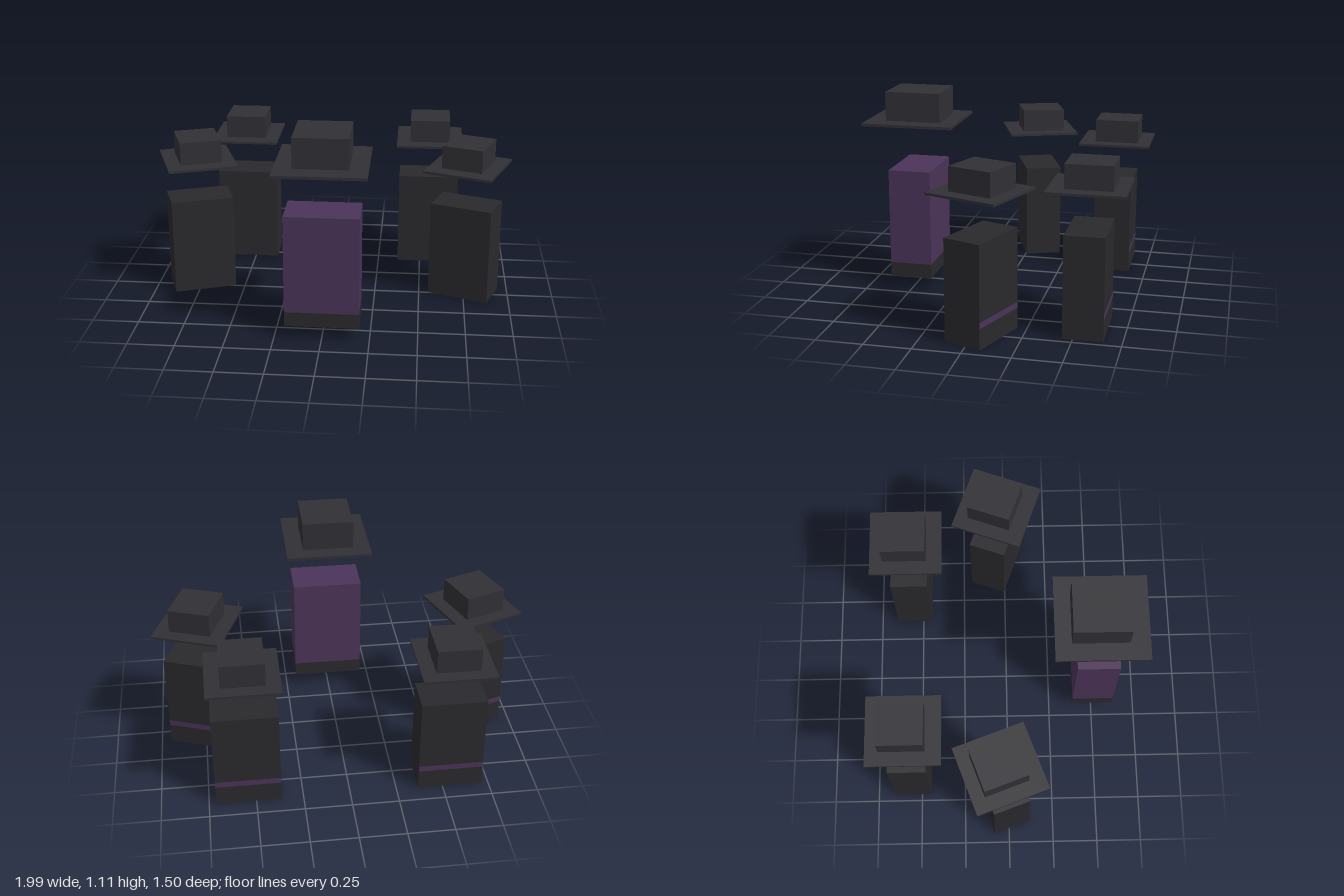
import * as THREE from 'three';

const dark = new THREE.MeshStandardMaterial({ color: 0x29292d });
const felt = new THREE.MeshStandardMaterial({ color: 0x303035 });
const purple = new THREE.MeshStandardMaterial({ color: 0x4a3358 });

// Box given by its size, its bottom height and a shift in z
function box(name, w, h, d, y, material, z = 0) {
  const mesh = new THREE.Mesh(new THREE.BoxGeometry(w, h, d), material);
  mesh.name = name;
  mesh.position.set(0, y + h / 2, z);
  return mesh;
}

// Square hat: thin brim with a block crown
function makeHat(y, s, brimHeight, crownHeight) {
  const hat = new THREE.Group();
  hat.name = 'hat';
  hat.position.y = y;
  hat.add(
    box('brim', 0.38 * s, brimHeight, 0.4 * s, 0, felt),
    box('crown', 0.227 * s, crownHeight, 0.243 * s, brimHeight, felt, -0.008 * s)
  );
  return hat;
}

// Dark follower with a purple stripe across the back
function makeFollower(name, x, z, turn) {
  const figure = new THREE.Group();
  figure.name = name;
  figure.add(box('robe', 0.346, 0.54, 0.208, 0, dark));
  const stripe = new THREE.Mesh(new THREE.PlaneGeometry(0.346, 0.032), purple);
  stripe.name = 'backStripe';
  stripe.position.set(0, 0.127, -0.105);
  stripe.rotation.y = Math.PI;
  figure.add(stripe, makeHat(0.745, 1, 0.013, 0.127));
  figure.position.set(x, 0, z);
  figure.rotation.y = turn;
  return figure;
}

// Larger purple figure floating at the front
function makeLeader() {
  const figure = new THREE.Group();
  figure.name = 'leader';
  figure.add(
    box('robe', 0.39, 0.53, 0.234, 0.15, purple),
    box('hem', 0.39, 0.08, 0.234, 0.07, dark)
  );
  // Purple panel on the underside
  const panel = new THREE.Mesh(new THREE.PlaneGeometry(0.275, 0.155), purple);
  panel.name = 'undersidePanel';
  panel.rotation.x = Math.PI / 2;
  panel.position.y = 0.069;
  figure.add(panel, makeHat(0.93, 1.25, 0.015, 0.16));
  figure.position.z = 0.5;
  return figure;
}

export function createModel() {
  const model = new THREE.Group();
  model.name = 'figures';
  model.add(makeLeader());
  for (const [side, s] of [['left', 1], ['right', -1]]) {
    model.add(
      makeFollower(side + 'MiddleFollower', s * 0.75, -0.043, -s * THREE.MathUtils.degToRad(20)),
      makeFollower(side + 'BackFollower', s * 0.54, -0.55, 0)
    );
  }
  return model;
}
